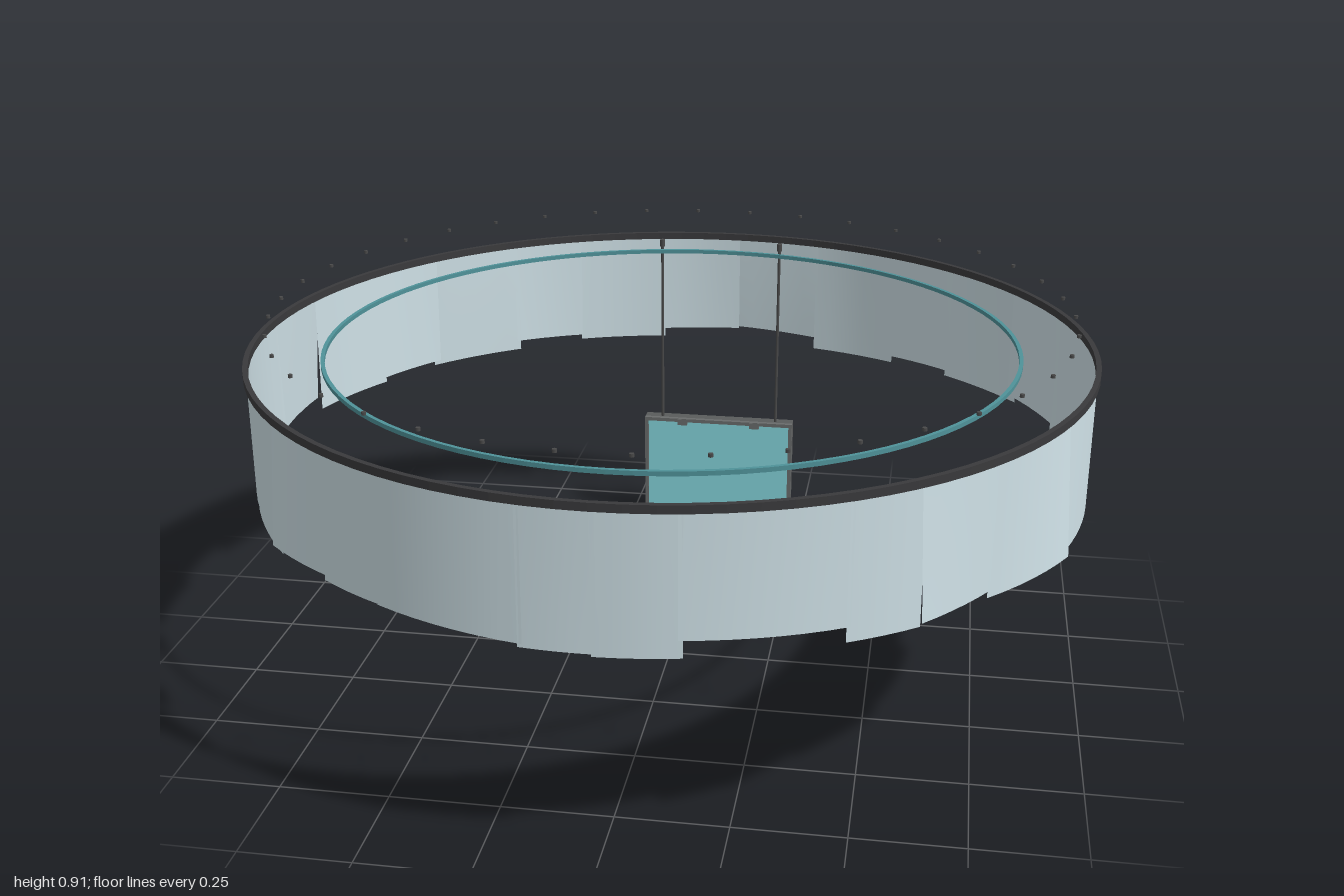
import * as THREE from 'three';

const CX = 0.005, CZ = -0.005, TOP = 0.825;
const mat = (color, side = THREE.FrontSide) => new THREE.MeshStandardMaterial({ color, side });

function add(parent, name, geometry, material, x = 0, y = 0, z = 0) {
  const m = new THREE.Mesh(geometry, material);
  m.name = name;
  m.position.set(x, y, z);
  parent.add(m);
  return m;
}

// Flat hoop with a rectangular section, lying around the y axis
function hoop(inner, outer, height) {
  const h = height / 2;
  const section = [[inner, -h], [outer, -h], [outer, h], [inner, h], [inner, -h]];
  const pts = section.map(([r, y]) => new THREE.Vector2(r, y));
  const g = new THREE.LatheGeometry(pts, 96).toNonIndexed();
  g.computeVertexNormals();
  return g;
}

// Curved hanging strip between two angles; its lower corners may flare outward
function strip(a0, a1, bottom, flare0, flare1, slant) {
  const n = Math.max(3, Math.ceil((a1 - a0) / 0.05));
  const g = new THREE.PlaneGeometry(1, 1, n, 2);
  const p = g.attributes.position;
  for (let i = 0; i < p.count; i++) {
    const t = p.getX(i) + 0.5, drop = 0.5 - p.getY(i);
    const a = a0 + (a1 - a0) * t;
    const r = 0.979 + drop * (flare0 * (1 - t) + flare1 * t);
    const low = bottom + slant * (t - 0.5);
    p.setXYZ(i, r * Math.sin(a), TOP + (low - TOP) * drop, r * Math.cos(a));
  }
  g.computeVertexNormals();
  return g;
}

export function createModel() {
  const group = new THREE.Group();
  const dark = mat(0x4a4a4a);

  // Outer rail and inner guide hoop
  add(group, 'outerRail', hoop(0.974, 0.986, 0.018), mat(0x3a3a3c), CX, TOP, CZ);
  add(group, 'innerHoop', hoop(0.804, 0.813, 0.01), mat(0x4f9299), CX, TOP, CZ);

  // Curtain strips: starting angle (0 = front, turning to +x) and bottom height
  const curtain = new THREE.Group();
  curtain.name = 'curtain';
  curtain.position.set(CX, 0, CZ);
  group.add(curtain);
  const cloth = mat(0xcfe1e7, THREE.DoubleSide);
  const strips = [
    [-0.49, 0.525], [-0.15, 0.515], [0, 0.512], [0.17, 0.55], [0.51, 0.515], [0.67, 0.535],
    [0.87, 0.52], [1.16, 0.513], [1.5, 0.548], [1.64, 0.515], [1.94, 0.54], [2.17, 0.52],
    [2.42, 0.535], [2.62, 0.515], [2.86, 0.55], [3.1, 0.55], [3.32, 0.525], [3.56, 0.54],
    [3.76, 0.515], [4.02, 0.53], [4.22, 0.52], [4.48, 0.545], [4.7, 0.515], [4.95, 0.53],
    [5.18, 0.52], [5.42, 0.54], [5.62, 0.53],
  ];
  const leaning = new Set([5, 6, 11, 14, 18, 21, 25]);
  strips.forEach(([a, bottom], i) => {
    const end = i + 1 < strips.length ? strips[i + 1][0] : strips[0][0] + Math.PI * 2;
    const lean = leaning.has(i) ? 0.022 : 0.004;
    add(curtain, 'curtainStrip', strip(a, end + 0.01, bottom,
      i % 2 ? lean : 0, i % 2 ? 0 : lean, ((i % 3) - 1) * 0.005), cloth);
  });

  // Small studs floating above the rail
  const studs = new THREE.Group();
  studs.name = 'ceilingStuds';
  group.add(studs);
  const studGeo = new THREE.CylinderGeometry(0.005, 0.005, 0.007, 8);
  const count = 40;
  for (let i = 0; i < count; i++) {
    const a = (i + 0.5) / count * Math.PI * 2;
    add(studs, 'stud', studGeo, dark, CX + 0.93 * Math.sin(a), 0.91, CZ + 0.93 * Math.cos(a));
  }

  // Hanging screen: back body, raised frame, glowing face
  const screen = new THREE.Group();
  screen.name = 'hangingScreen';
  screen.position.set(0.005, 0.157, -0.87);
  group.add(screen);
  const frameMat = mat(0x6a6c6c);
  add(screen, 'screenBody', new THREE.BoxGeometry(0.43, 0.31, 0.03), mat(0x5a5c5c), 0, 0, -0.005);
  for (const s of [-1, 1]) {
    add(screen, 'frameSide', new THREE.BoxGeometry(0.01, 0.31, 0.012), frameMat, s * 0.21, 0, 0.016);
    add(screen, 'frameRail', new THREE.BoxGeometry(0.41, 0.01, 0.012), frameMat, 0, s * 0.15, 0.016);
    add(screen, 'screenClip', new THREE.BoxGeometry(0.028, 0.018, 0.012), frameMat, s * 0.105, 0.145, 0.018);
  }
  add(screen, 'screenFace', new THREE.BoxGeometry(0.41, 0.29, 0.006), mat(0x86d6de), 0, 0, 0.013);

  // Suspension rods with end caps
  const rodGeo = new THREE.CylinderGeometry(0.004, 0.004, 0.53, 10);
  const capGeo = new THREE.CylinderGeometry(0.007, 0.007, 0.02, 10);
  for (const s of [-1, 1]) {
    add(group, 'suspensionRod', rodGeo, dark, 0.005 + s * 0.165, 0.57, -0.868);
    add(group, 'rodCap', capGeo, dark, 0.005 + s * 0.165, 0.83, -0.868);
  }
  return group;
}
